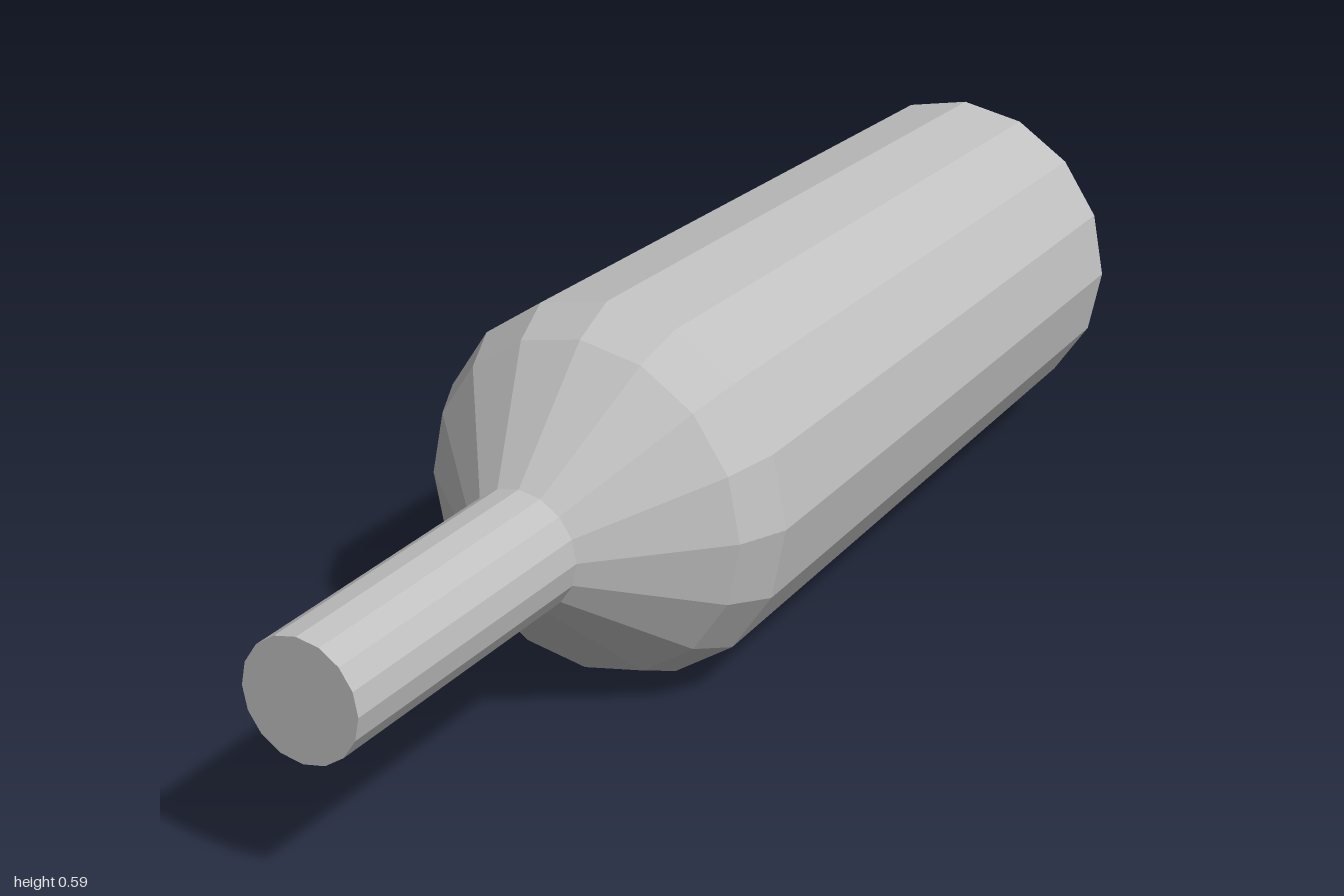
import * as THREE from 'three';

const SIDES = 16;
const AXIS_HEIGHT = 0.296;

// Turns a profile of [radius, z] points around the z axis
function turned(name, profile, material) {
  const points = profile.map(([r, z]) => new THREE.Vector2(r, z));
  const geometry = new THREE.LatheGeometry(points, SIDES);
  geometry.rotateX(Math.PI / 2);
  const mesh = new THREE.Mesh(geometry, material);
  mesh.name = name;
  mesh.position.y = AXIS_HEIGHT;
  return mesh;
}

export function createModel() {
  const group = new THREE.Group();
  group.name = 'bottle';

  const grey = new THREE.MeshStandardMaterial({ color: 0xc0c0c0, flatShading: true });
  grey.name = 'grey';

  // Closed back end and slightly flared barrel
  group.add(turned('body', [[0, -1], [0.277, -1], [0.295, 0.24]], grey));
  // Bevel and cone narrowing to the neck
  group.add(turned('shoulder', [[0.295, 0.24], [0.261, 0.315], [0.093, 0.483]], grey));
  // Thin neck with a flat front end
  group.add(turned('neck', [[0.093, 0.483], [0.091, 1], [0, 1]], grey));

  return group;
}
